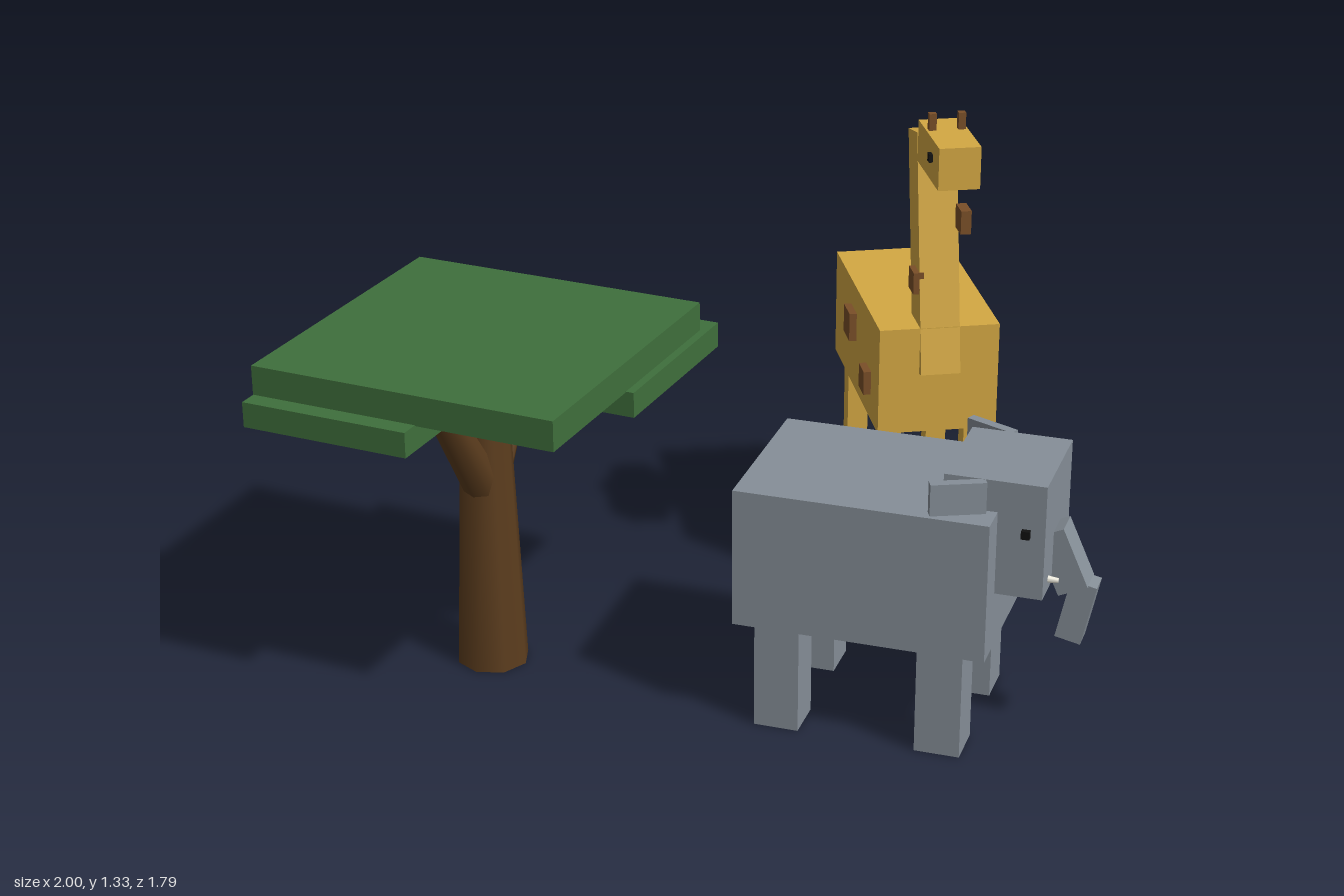
import * as THREE from 'three';

const paint = (color) => new THREE.MeshStandardMaterial({ color });
const GREY = paint(0x868f98), TAN = paint(0xd4a843), BROWN = paint(0x7a4f28), BARK = paint(0x5c3d1e);
const LEAF = paint(0x3f6f3c), BLACK = paint(0x111111), IVORY = paint(0xf2efe2);

function add(parent, name, geometry, material, position, rotation = [0, 0, 0]) {
  const mesh = new THREE.Mesh(geometry, material);
  mesh.name = name;
  mesh.position.set(...position);
  mesh.rotation.set(...rotation);
  parent.add(mesh);
  return mesh;
}

const box = (parent, name, size, material, position, rotation) =>
  add(parent, name, new THREE.BoxGeometry(...size), material, position, rotation);

function placed(name, x, z, yaw) {
  const group = new THREE.Group();
  group.name = name;
  group.position.set(x, 0, z);
  group.rotation.y = yaw;
  return group;
}

// Four square legs standing on the ground
function addLegs(parent, width, height, dx, dz, material) {
  for (const sz of [1, -1]) for (const sx of [1, -1]) {
    box(parent, sz > 0 ? 'frontLeg' : 'backLeg', [width, height, width], material, [sx * dx, height / 2, sz * dz]);
  }
}

function createElephant() {
  const g = placed('elephant', 0.10, 0.42, 0.5);
  box(g, 'body', [0.434, 0.347, 0.608], GREY, [0, 0.439, 0]);
  addLegs(g, 0.109, 0.27, 0.154, 0.197, GREY);
  box(g, 'head', [0.275, 0.285, 0.24], GREY, [0, 0.548, 0.296]);
  for (const s of [1, -1]) {
    // Ears sweep back and outwards
    box(g, 'ear', [0.024, 0.24, 0.13], GREY, [s * 0.17, 0.57, 0.217], [0, -s * 0.42, 0]);
    box(g, 'eye', [0.022, 0.02, 0.02], BLACK, [s * 0.14, 0.569, 0.372]);
    add(g, 'tusk', new THREE.CylinderGeometry(0.006, 0.013, 0.06, 8), IVORY, [s * 0.079, 0.432, 0.41], [Math.PI / 2, 0, 0]);
  }
  // Trunk in two bent segments
  box(g, 'upperTrunk', [0.075, 0.155, 0.075], GREY, [0, 0.457, 0.436], [-0.42, 0, 0]);
  box(g, 'lowerTrunk', [0.06, 0.155, 0.063], GREY, [0, 0.33, 0.475], [0.21, 0, 0]);
  return g;
}

function createGiraffe() {
  const g = placed('giraffe', 0.711, -0.061, -0.6);
  box(g, 'body', [0.304, 0.279, 0.566], TAN, [0, 0.636, 0]);
  addLegs(g, 0.054, 0.5, 0.108, 0.209, TAN);
  box(g, 'neck', [0.1, 0.606, 0.1], TAN, [0, 0.946, 0.197], [-0.2, 0, 0]);
  box(g, 'head', [0.102, 0.105, 0.228], TAN, [0, 1.238, 0.316]);
  for (const s of [1, -1]) {
    box(g, 'horn', [0.018, 0.044, 0.018], BROWN, [s * 0.036, 1.31, 0.283]);
    box(g, 'eye', [0.02, 0.02, 0.02], BLACK, [s * 0.05, 1.245, 0.355]);
  }
  // Spots: x, y, z, size
  const spots = [
    [0.158, 0.68, 0.119, 0.083], [0.158, 0.592, -0.118, 0.062],
    [-0.158, 0.67, -0.043, 0.075], [-0.158, 0.595, 0.157, 0.062],
    [0.055, 1.05, 0.26, 0.06], [-0.052, 0.885, 0.23, 0.056],
  ];
  for (const [x, y, z, size] of spots) box(g, 'spot', [0.026, size, size], BROWN, [x, y, z]);
  return g;
}

function createTree() {
  const g = placed('tree', -0.447, -0.388, 0.4);
  add(g, 'trunk', new THREE.CylinderGeometry(0.061, 0.09, 0.7, 8), BARK, [0, 0.35, 0]);
  for (const s of [1, -1]) {
    add(g, 'branch', new THREE.CylinderGeometry(0.037, 0.05, 0.35, 8), BARK, [s * 0.096, 0.592, 0], [0, 0, -s * 0.6]);
  }
  // Flat canopy layers
  box(g, 'upperCanopy', [0.783, 0.075, 0.783], LEAF, [0, 0.834, 0]);
  box(g, 'lowerCanopy', [0.43, 0.063, 0.43], LEAF, [-0.224, 0.767, -0.176]);
  box(g, 'lowerCanopy', [0.48, 0.063, 0.48], LEAF, [0.215, 0.767, 0.172]);
  return g;
}

export function createModel() {
  const model = new THREE.Group();
  model.name = 'savannaScene';
  model.add(createElephant(), createGiraffe(), createTree());
  return model;
}
